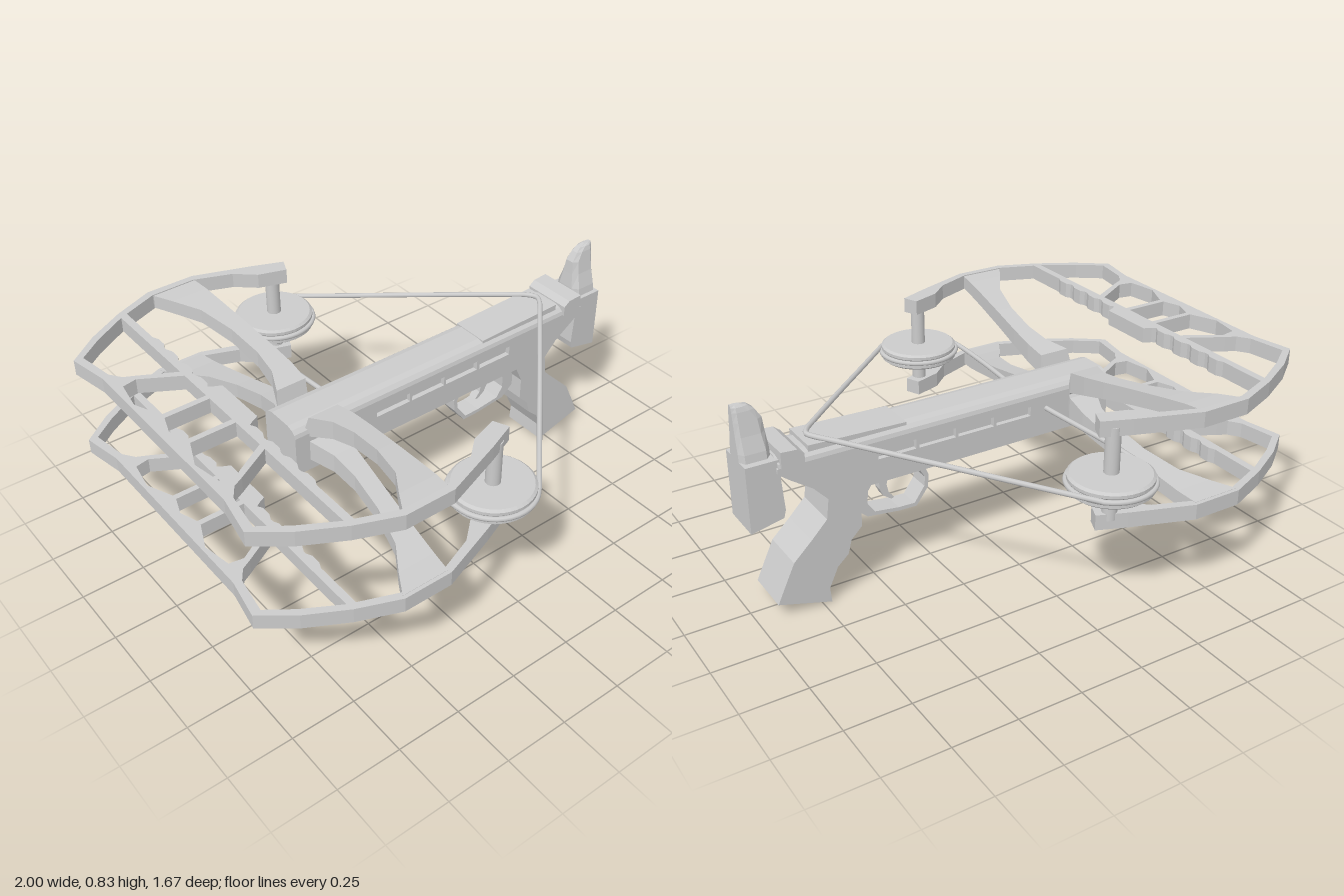
import * as THREE from 'three';

const material = new THREE.MeshStandardMaterial({ color: 0xcccccc });
const flat = new THREE.MeshStandardMaterial({ color: 0xcccccc, flatShading: true });
const MID = 0.575; // height of the plane halfway between the two bow frames

function add(parent, name, geometry, mat = flat) {
  const mesh = new THREE.Mesh(geometry, mat);
  mesh.name = name;
  parent.add(mesh);
  return mesh;
}

// Outline wound counter-clockwise and holes clockwise, so every wall faces outwards
function makeShape(points, holes = []) {
  const wind = (list, clockwise) => {
    const vecs = list.map(([x, y]) => new THREE.Vector2(x, y));
    return THREE.ShapeUtils.isClockWise(vecs) === clockwise ? vecs : vecs.reverse();
  };
  const shape = new THREE.Shape(wind(points, false));
  shape.holes = holes.map((h) => new THREE.Path(wind(h, true)));
  return shape;
}

const extrude = (points, depth, holes) =>
  new THREE.ExtrudeGeometry(makeShape(points, holes), { depth, bevelEnabled: false });

// Side profile (x, y), given thickness, centred across z
const sidePlate = (points, width, holes) => extrude(points, width, holes).translate(0, 0, 0.005 - width / 2);

const mirrorZ = (points) => points.map(([x, z]) => [x, -z]).reverse();

// Skin over rings of [x, y, z], counter-clockwise seen from the last ring
function loft(rings) {
  const n = rings[0].length, index = [];
  for (let i = 0; i < rings.length - 1; i++) {
    for (let j = 0; j < n; j++) {
      const a = i * n + j, b = i * n + (j + 1) % n;
      index.push(a, b, b + n, a, b + n, a + n);
    }
  }
  const last = (rings.length - 1) * n;
  for (let j = 1; j < n - 1; j++) index.push(0, j + 1, j, last, last + j, last + j + 1);
  const geometry = new THREE.BufferGeometry();
  geometry.setAttribute('position', new THREE.Float32BufferAttribute(rings.flat(2), 3));
  geometry.setIndex(index);
  const result = geometry.toNonIndexed();
  result.computeVertexNormals();
  return result;
}

// Flat bow frame with window openings and a gently scalloped inner bar
function frameGeometry() {
  const half = [
    [-0.97, 0.1], [-0.97, 0.4], [-1, 0.56], [-0.88, 0.652], [-0.73, 0.735], [-0.57, 0.8], [-0.375, 0.8],
    [-0.14, 0.715], [-0.03, 0.67], [-0.055, 0.612], [-0.165, 0.648], [-0.24, 0.715], [-0.385, 0.772],
    [-0.565, 0.77], [-0.705, 0.715],
  ];
  for (let i = 0; i < 4; i++) {
    const z = 0.52 - i * 0.1;
    half.push([-0.705, z], [-0.694, z - 0.025], [-0.694, z - 0.065], [-0.705, z - 0.085]);
  }
  half.push([-0.69, 0.125], [-0.66, 0.11]);
  const outer = [
    [-0.965, 0.555], [-0.87, 0.625], [-0.735, 0.703], [-0.735, 0.27], [-0.87, 0.345], [-0.91, 0.365], [-0.942, 0.41],
  ];
  const inner = [
    [-0.735, 0.24], [-0.88, 0.325], [-0.935, 0.315], [-0.955, 0.2], [-0.91, 0.095], [-0.735, 0.095],
  ];
  const centre = [[-0.735, 0.072], [-0.91, 0.072], [-0.935, 0], [-0.91, -0.072], [-0.735, -0.072]];
  return extrude([...half, ...mirrorZ(half)], 0.06, [outer, inner, mirrorZ(outer), mirrorZ(inner), centre])
    .rotateX(Math.PI / 2);
}

// Pair of curved limbs as one piece running through the stock: z, xLeft, xRight, y, half height
function limbGeometry() {
  const half = [
    [0.785, -0.57, -0.38, 0.179, 0.027], [0.7, -0.52, -0.37, 0.172, 0.028], [0.6, -0.455, -0.36, 0.156, 0.029],
    [0.45, -0.415, -0.345, 0.129, 0.031], [0.3, -0.4, -0.33, 0.099, 0.034], [0.19, -0.41, -0.322, 0.075, 0.038],
    [0.1, -0.45, -0.325, 0.053, 0.042], [0.085, -0.46, -0.328, 0.015, 0.022], [0.05, -0.48, -0.33, 0.015, 0.022],
  ];
  const stations = [...half.map(([z, ...rest]) => [-z, ...rest]), ...[...half].reverse()];
  return loft(stations.map(([z, l, r, y, h]) =>
    [[r, y - h, z], [r, y + h, z], [l, y + h, z], [l, y - h, z]]));
}

function buildBow() {
  const bow = new THREE.Group();
  bow.name = 'bow';
  const frame = frameGeometry();
  add(bow, 'upperFrame', frame).position.y = 0.784;
  add(bow, 'lowerFrame', frame).position.y = 0.422;
  const limbs = limbGeometry();
  add(bow, 'upperLimbs', limbs).position.y = MID;
  const lower = add(bow, 'lowerLimbs', limbs);
  lower.position.y = MID;
  lower.rotation.x = Math.PI;

  // Grooved wheel on an axle at each tip
  const wheelProfile = [
    [0, -0.032], [0.145, -0.032], [0.155, -0.024], [0.155, -0.012], [0.145, 0], [0.155, 0.012],
    [0.155, 0.024], [0.145, 0.032], [0, 0.032],
  ].map(([x, y]) => new THREE.Vector2(x, y));
  for (const side of [-1, 1]) {
    const wheel = new THREE.Group();
    wheel.name = side > 0 ? 'leftWheel' : 'rightWheel';
    wheel.position.set(-0.09, 0.545, side * 0.669);
    add(wheel, 'wheelDisc', new THREE.LatheGeometry(wheelProfile, 40));
    add(wheel, 'axle', new THREE.CylinderGeometry(0.028, 0.028, 0.36, 20), material).position.y = 0.03;
    const wrap = new THREE.TorusGeometry(0.157, 0.01, 8, 40).rotateX(Math.PI / 2);
    add(wheel, 'stringWrap', wrap, material);
    bow.add(wheel);
  }
  return bow;
}

// Strand mirrored across z = 0, the last point lying on the centre plane
function strand(points) {
  const all = [...points, ...points.slice(0, -1).reverse().map(([x, y, z]) => [x, y, -z])];
  const curve = new THREE.CatmullRomCurve3(all.map((p) => new THREE.Vector3(...p)), false, 'centripetal');
  return new THREE.TubeGeometry(curve, 120, 0.01, 8);
}

function buildStock() {
  const stock = new THREE.Group();
  stock.name = 'stock';

  // Stock body and pistol grip in one profile, with side slots
  const profile = [
    [-0.51, 0.437], [0.55, 0.435], [0.58, 0.37], [0.58, 0.28], [0.625, 0.235], [0.64, 0.18], [0.685, 0.14],
    [0.722, 0.06], [0.717, 0], [0.925, 0.06], [0.89, 0.135], [0.853, 0.213], [0.78, 0.283],
    [0.715, 0.35], [0.705, 0.43], [0.76, 0.49], [0.84, 0.545], [0.885, 0.58], [0.885, 0.6], [-0.51, 0.6],
  ];
  const slots = [-0.15, 0.015, 0.18, 0.347].map((x) =>
    [[x, 0.53], [x + 0.155, 0.53], [x + 0.155, 0.568], [x, 0.568]]);
  add(stock, 'stockBody', sidePlate(profile, 0.19, slots));
  add(stock, 'slotFloor', new THREE.BoxGeometry(0.7, 0.1, 0.15)).position.set(0.18, 0.54, 0.005);

  // Rounded top rail
  const rail = [
    [-0.095, 0.6], [0.095, 0.6], [0.09, 0.615], [0.075, 0.628], [0.05, 0.635],
    [-0.05, 0.635], [-0.075, 0.628], [-0.09, 0.615],
  ];
  add(stock, 'topRail', extrude(rail, 1.39).rotateY(Math.PI / 2).translate(-0.51, 0, 0.005));
  const cover = [[0.375, 0.61], [0.76, 0.61], [0.76, 0.65], [0.7, 0.648], [0.375, 0.638]];
  add(stock, 'latchCover', sidePlate(cover, 0.155));
  const saddle = [[0.785, 0.6], [0.872, 0.6], [0.872, 0.664], [0.81, 0.66], [0.785, 0.64]];
  add(stock, 'rearSaddle', sidePlate(saddle, 0.205));

  // Butt plate
  const butt = [
    [0.862, 0.43], [0.87, 0.4], [0.995, 0.373], [0.995, 0.63], [0.87, 0.63], [0.87, 0.55],
  ];
  add(stock, 'buttPlate', sidePlate(butt, 0.168));

  // Cheek piece: y, front x, half width
  const cheek = [
    [0.62, 0.882, 0.064], [0.66, 0.882, 0.058], [0.72, 0.888, 0.04], [0.77, 0.892, 0.03],
    [0.805, 0.915, 0.023], [0.822, 0.935, 0.017], [0.83, 0.96, 0.009],
  ].map(([y, x, w]) => [
    [x + 0.02, -w, y], [0.98, -w, y], [0.995, -w * 0.6, y], [0.995, w * 0.6, y],
    [0.98, w, y], [x + 0.02, w, y], [x, w * 0.6, y], [x, -w * 0.6, y],
  ]);
  add(stock, 'cheekPiece', loft(cheek).rotateX(-Math.PI / 2).translate(0, 0, 0.01));

  // Trigger guard and trigger
  const guard = [
    [0.295, 0.437], [0.27, 0.375], [0.275, 0.325], [0.325, 0.258], [0.4, 0.26], [0.53, 0.276],
    [0.59, 0.33], [0.59, 0.37], [0.56, 0.437],
  ];
  const opening = [
    [0.31, 0.41], [0.286, 0.37], [0.29, 0.333], [0.333, 0.273], [0.4, 0.275], [0.5, 0.288],
    [0.528, 0.33], [0.525, 0.38], [0.505, 0.41],
  ];
  add(stock, 'triggerGuard', sidePlate(guard, 0.085, [opening]));
  const trigger = [
    [0.425, 0.415], [0.435, 0.37], [0.427, 0.335], [0.405, 0.308], [0.418, 0.305], [0.45, 0.328],
    [0.465, 0.36], [0.465, 0.415],
  ];
  add(stock, 'trigger', sidePlate(trigger, 0.035));
  return stock;
}

export function createModel() {
  const model = new THREE.Group();
  model.name = 'compoundCrossbow';
  model.add(buildBow(), buildStock());

  // Drawn string at the back and straight cable through the stock
  add(model, 'bowString', strand([
    [0.026, 0.547, -0.777], [0.219, 0.578, -0.57], [0.445, 0.615, -0.328], [0.67, 0.65, -0.085],
    [0.715, 0.656, -0.035], [0.732, 0.657, 0],
  ]), material);
  add(model, 'cable', strand([
    [-0.247, 0.545, -0.68], [-0.252, 0.545, -0.6], [-0.245, 0.545, -0.4], [-0.222, 0.545, -0.1], [-0.22, 0.545, 0],
  ]), material);
  return model;
}
